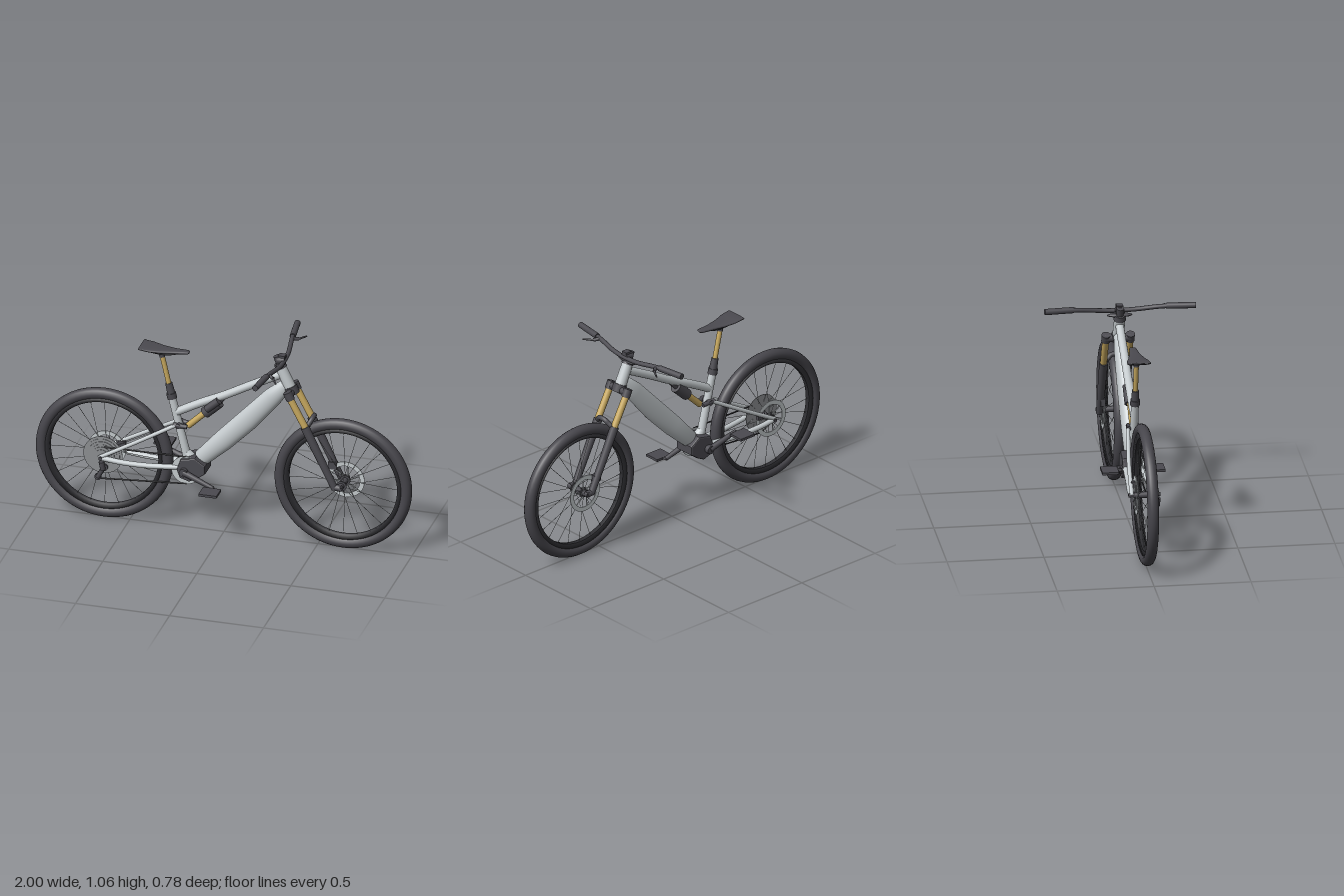
import * as THREE from 'three';

const mat = (name, color, side = THREE.FrontSide) => {
  const m = new THREE.MeshStandardMaterial({ color, side });
  m.name = name;
  return m;
};
const V = (x, y, z = 0) => new THREE.Vector3(x, y, z);

export function createModel() {
  const dark = mat('dark grey', 0x4b4a50);
  const tyre = mat('tyre grey', 0x47464c);
  const black = mat('rim black', 0x303034);
  const silver = mat('frame silver', 0xc4cacd, THREE.DoubleSide);
  const gold = mat('gold', 0xc8a95f);
  const steel = mat('steel', 0x8d9093, THREE.DoubleSide);

  const bike = new THREE.Group();
  bike.name = 'bicycle';
  const add = (name, geo, m, parent = bike) => {
    const o = new THREE.Mesh(geo, m);
    o.name = name;
    parent.add(o);
    return o;
  };
  // straight round bar from a to b
  const rod = (name, a, b, r, m, rEnd = r, parent = bike, sides = 16) => {
    const d = b.clone().sub(a);
    const o = add(name, new THREE.CylinderGeometry(rEnd, r, d.length(), sides), m, parent);
    o.position.copy(a).addScaledVector(d, 0.5);
    o.quaternion.setFromUnitVectors(V(0, 1), d.normalize());
    return o;
  };
  // bent tube through points
  const pipe = (name, pts, r, m, parent = bike) =>
    add(name, new THREE.TubeGeometry(new THREE.CatmullRomCurve3(pts), 28, r, 12), m, parent);
  // disc or hub whose axis runs along z
  const disc = (name, x, y, z, r, w, m, parent = bike, sides = 32) => {
    const o = add(name, new THREE.CylinderGeometry(r, r, w, sides).rotateX(Math.PI / 2), m, parent);
    o.position.set(x, y, z);
    return o;
  };
  // closed body lofted through [x, y, half height, half width] sections
  const loft = (name, secs, m, power = 1, seg = 28) => {
    const pos = [], idx = [];
    secs.forEach(([x, y, h, w], i) => {
      const p = secs[Math.max(i - 1, 0)], q = secs[Math.min(i + 1, secs.length - 1)];
      const len = Math.hypot(q[0] - p[0], q[1] - p[1]);
      const nx = -(q[1] - p[1]) / len, ny = (q[0] - p[0]) / len;
      for (let j = 0; j < seg; j++) {
        const t = (j / seg) * Math.PI * 2, c = Math.cos(t), s = Math.sin(t);
        const u = Math.sign(c) * Math.abs(c) ** power * h;
        pos.push(x + nx * u, y + ny * u, Math.sign(s) * Math.abs(s) ** power * w);
        if (i < secs.length - 1) {
          const a = i * seg + j, b = i * seg + (j + 1) % seg;
          idx.push(a, b, a + seg, b, b + seg, a + seg);
        }
      }
    });
    const g = new THREE.BufferGeometry();
    g.setAttribute('position', new THREE.Float32BufferAttribute(pos, 3));
    g.setIndex(idx);
    g.computeVertexNormals();
    return add(name, g, m);
  };

  // wheels with tyre, rim, hub, spokes and brake rotor
  const rotorShape = new THREE.Shape().absarc(0, 0, 0.1, 0, Math.PI * 2);
  rotorShape.holes.push(new THREE.Path().absarc(0, 0, 0.076, 0, Math.PI * 2, true));
  const makeWheel = (name, x) => {
    const w = new THREE.Group();
    w.name = name;
    w.position.set(x, 0.366, 0);
    bike.add(w);
    add('tyre', new THREE.TorusGeometry(0.335, 0.03, 16, 72), tyre, w);
    const profile = [[0.289, -0.012], [0.312, -0.02], [0.312, 0.02], [0.289, 0.012], [0.289, -0.012]];
    const rim = new THREE.LatheGeometry(profile.map(p => new THREE.Vector2(...p)), 72).rotateX(Math.PI / 2);
    const rimMat = black;
    rimMat.side = THREE.DoubleSide;
    add('rim', rim, rimMat, w);
    disc('hub', 0, 0, 0, 0.016, 0.11, dark, w);
    for (const z of [-0.035, 0.035]) disc('hubFlange', 0, 0, z, 0.027, 0.006, dark, w);
    for (let i = 0; i < 24; i++) {
      const a = (i / 24) * Math.PI * 2, z = i % 2 ? 0.034 : -0.034;
      rod('spoke', V(0.02 * Math.cos(a), 0.02 * Math.sin(a), z),
        V(0.295 * Math.cos(a), 0.295 * Math.sin(a), 0), 0.0013, steel, 0.0013, w, 5);
    }
    const rotor = add('brakeRotor', new THREE.ExtrudeGeometry(rotorShape,
      { depth: 0.004, bevelEnabled: false, curveSegments: 32 }), silver, w);
    rotor.position.z = -0.047;
    for (let i = 0; i < 6; i++) {
      const a = (i / 6) * Math.PI * 2;
      rod('rotorArm', V(0.02 * Math.cos(a), 0.02 * Math.sin(a), -0.045),
        V(0.08 * Math.cos(a + 0.35), 0.08 * Math.sin(a + 0.35), -0.045), 0.003, silver, 0.003, w, 6);
    }
    return w;
  };
  const rear = makeWheel('rearWheel', -0.635);
  makeWheel('frontWheel', 0.635);

  // cassette
  for (let i = 0; i < 6; i++) disc('cassetteSprocket', 0, 0, 0.03 + i * 0.005, 0.104 - i * 0.013, 0.003, steel, rear);

  // main frame
  loft('downTube', [[-0.125, 0.4, 0.002, 0.002], [-0.12, 0.405, 0.044, 0.034], [0.0, 0.525, 0.055, 0.036],
    [0.13, 0.66, 0.057, 0.036], [0.26, 0.808, 0.05, 0.034], [0.325, 0.878, 0.036, 0.028],
    [0.34, 0.895, 0.002, 0.002]], silver);
  rod('headTube', V(0.357, 0.865), V(0.302, 0.985), 0.031, silver, 0.028, bike, 24);
  pipe('topTube', [V(0.3, 0.94), V(0.15, 0.862), V(0, 0.78), V(-0.12, 0.722), V(-0.25, 0.652)], 0.022, silver);
  rod('seatTube', V(-0.195, 0.4), V(-0.28, 0.745), 0.022, silver, 0.02);
  rod('seatTubeFoot', V(-0.16, 0.38), V(-0.2, 0.43), 0.035, silver, 0.022);

  // rear triangle
  for (const s of [1, -1]) {
    pipe('chainStay', [V(-0.645, 0.366, s * 0.066), V(-0.52, 0.352, s * 0.062), V(-0.38, 0.347, s * 0.05),
      V(-0.2, 0.36, s * 0.04)], 0.014, silver);
    pipe('seatStay', [V(-0.645, 0.366, s * 0.066), V(-0.45, 0.475, s * 0.055), V(-0.25, 0.588, s * 0.033)], 0.011, silver);
    rod('linkage', V(-0.262, 0.59, s * 0.03), V(-0.19, 0.582, s * 0.024), 0.012, dark);
  }
  disc('rearAxle', -0.635, 0.366, 0, 0.01, 0.165, dark);
  disc('linkagePivot', -0.235, 0.585, 0, 0.014, 0.075, dark);

  // rear shock
  rod('shockShaft', V(-0.19, 0.58), V(-0.095, 0.672), 0.017, gold);
  rod('shockBody', V(-0.1, 0.666), V(-0.025, 0.736), 0.03, dark);
  rod('shockReservoir', V(-0.085, 0.7, 0.025), V(-0.02, 0.757, 0.025), 0.02, dark);
  rod('shockMount', V(-0.03, 0.732), V(0.0, 0.77), 0.014, dark);

  // seat post and saddle
  rod('seatCollar', V(-0.275, 0.725), V(-0.282, 0.755), 0.025, dark);
  rod('seatPostSleeve', V(-0.28, 0.75), V(-0.294, 0.81), 0.021, dark, 0.018);
  rod('seatPost', V(-0.292, 0.8), V(-0.329, 0.962), 0.013, gold);
  rod('saddleClamp', V(-0.328, 0.955), V(-0.333, 0.985), 0.015, dark);
  for (const s of [1, -1]) pipe('saddleRail', [V(-0.41, 0.995, s * 0.03), V(-0.36, 0.98, s * 0.02),
    V(-0.29, 0.98, s * 0.018), V(-0.22, 0.994, s * 0.008)], 0.004, black);
  loft('saddle', [[-0.442, 1.008, 0.001, 0.05], [-0.44, 1.008, 0.007, 0.061], [-0.39, 1.002, 0.01, 0.058],
    [-0.33, 0.995, 0.011, 0.042], [-0.26, 0.995, 0.01, 0.026], [-0.19, 0.998, 0.008, 0.018],
    [-0.182, 0.998, 0.001, 0.008]], dark, 0.75);

  // motor and chainring
  const motorShape = new THREE.Shape([[-0.23, 0.35], [-0.21, 0.405], [-0.14, 0.42], [-0.09, 0.385],
    [-0.09, 0.345], [-0.13, 0.315], [-0.17, 0.295], [-0.215, 0.31]].map(p => new THREE.Vector2(...p)));
  const motor = add('motor', new THREE.ExtrudeGeometry(motorShape,
    { depth: 0.1, bevelThickness: 0.01, bevelSize: 0.006, bevelSegments: 2 }), dark);
  motor.position.z = -0.048;
  disc('chainring', -0.188, 0.348, 0.046, 0.078, 0.006, silver);
  disc('crankAxle', -0.195, 0.345, 0, 0.022, 0.165, dark);

  // cranks and pedals
  for (const [s, x, y] of [[1, -0.035, 0.285], [-1, -0.355, 0.402]]) {
    rod('crankArm', V(-0.195, 0.345, s * 0.072), V(x, y, s * 0.088), 0.017, dark, 0.011);
    rod('pedalAxle', V(x, y, s * 0.08), V(x, y, s * 0.11), 0.007, dark);
    add('pedal', new THREE.BoxGeometry(0.096, 0.013, 0.085), dark).position.set(x, y, s * 0.142);
  }

  // chain and derailleur
  rod('chainUpper', V(-0.625, 0.418, 0.048), V(-0.19, 0.424, 0.048), 0.004, black);
  rod('chainLower', V(-0.655, 0.24, 0.052), V(-0.185, 0.272, 0.048), 0.004, black);
  rod('derailleurBody', V(-0.632, 0.345, 0.07), V(-0.625, 0.3, 0.066), 0.014, dark);
  rod('derailleurCage', V(-0.622, 0.31, 0.058), V(-0.655, 0.248, 0.058), 0.012, dark);
  disc('upperPulley', -0.622, 0.308, 0.055, 0.02, 0.01, dark);
  disc('lowerPulley', -0.655, 0.25, 0.055, 0.018, 0.01, dark);

  // fork
  add('forkCrown', new THREE.CapsuleGeometry(0.022, 0.125, 6, 16).rotateX(Math.PI / 2), dark).position.set(0.362, 0.856, 0);
  rod('crownRace', V(0.368, 0.842), V(0.352, 0.882), 0.035, dark);
  for (const s of [1, -1]) {
    const z = s * 0.063;
    rod('crownSocket', V(0.373, 0.836, z), V(0.355, 0.876, z), 0.023, dark);
    rod('stanchion', V(0.365, 0.85, z), V(0.46, 0.67, z), 0.018, gold);
    rod('forkLower', V(0.448, 0.69, z), V(0.608, 0.36, z), 0.023, dark, 0.018);
    rod('dropout', V(0.6, 0.368, z), V(0.64, 0.366, z), 0.017, dark);
  }
  pipe('forkArch', [V(0.452, 0.682, 0.066), V(0.466, 0.705, 0.04), V(0.475, 0.722, 0.02), V(0.475, 0.722, -0.02),
    V(0.466, 0.705, -0.04), V(0.452, 0.682, -0.066)], 0.013, dark);
  disc('frontAxle', 0.635, 0.366, 0, 0.014, 0.15, dark);

  // brake calipers
  add('frontCaliper', new THREE.BoxGeometry(0.045, 0.04, 0.025), dark).position.set(0.565, 0.435, -0.052);
  add('rearCaliper', new THREE.BoxGeometry(0.045, 0.03, 0.022), dark).position.set(-0.56, 0.405, -0.05);

  // stem and handlebar
  rod('headsetCap', V(0.304, 0.98), V(0.293, 1.005), 0.033, dark, 0.026);
  const wing = add('hosePort', new THREE.SphereGeometry(1, 20, 10), dark);
  wing.scale.set(0.02, 0.011, 0.066);
  wing.position.set(0.305, 1.0, 0);
  rod('steererClamp', V(0.3, 0.995), V(0.282, 1.045), 0.02, dark);
  rod('stem', V(0.285, 1.025), V(0.325, 1.025), 0.024, dark);
  add('displayMount', new THREE.BoxGeometry(0.035, 0.014, 0.034), dark).position.set(0.31, 1.047, 0);
  pipe('handlebar', [V(0.278, 1.044, -0.38), V(0.298, 1.04, -0.22), V(0.317, 1.024, -0.09), V(0.32, 1.02, 0),
    V(0.317, 1.024, 0.09), V(0.298, 1.04, 0.22), V(0.278, 1.044, 0.38)], 0.012, dark);
  for (const s of [1, -1]) {
    rod('grip', V(0.296, 1.042, s * 0.24), V(0.278, 1.045, s * 0.39), 0.016, dark);
    rod('brakeClamp', V(0.3, 1.04, s * 0.215), V(0.33, 1.034, s * 0.235), 0.009, dark);
    rod('brakeLever', V(0.325, 1.034, s * 0.23), V(0.358, 1.03, s * 0.285), 0.006, dark, 0.004);
  }
  return bike;
}
